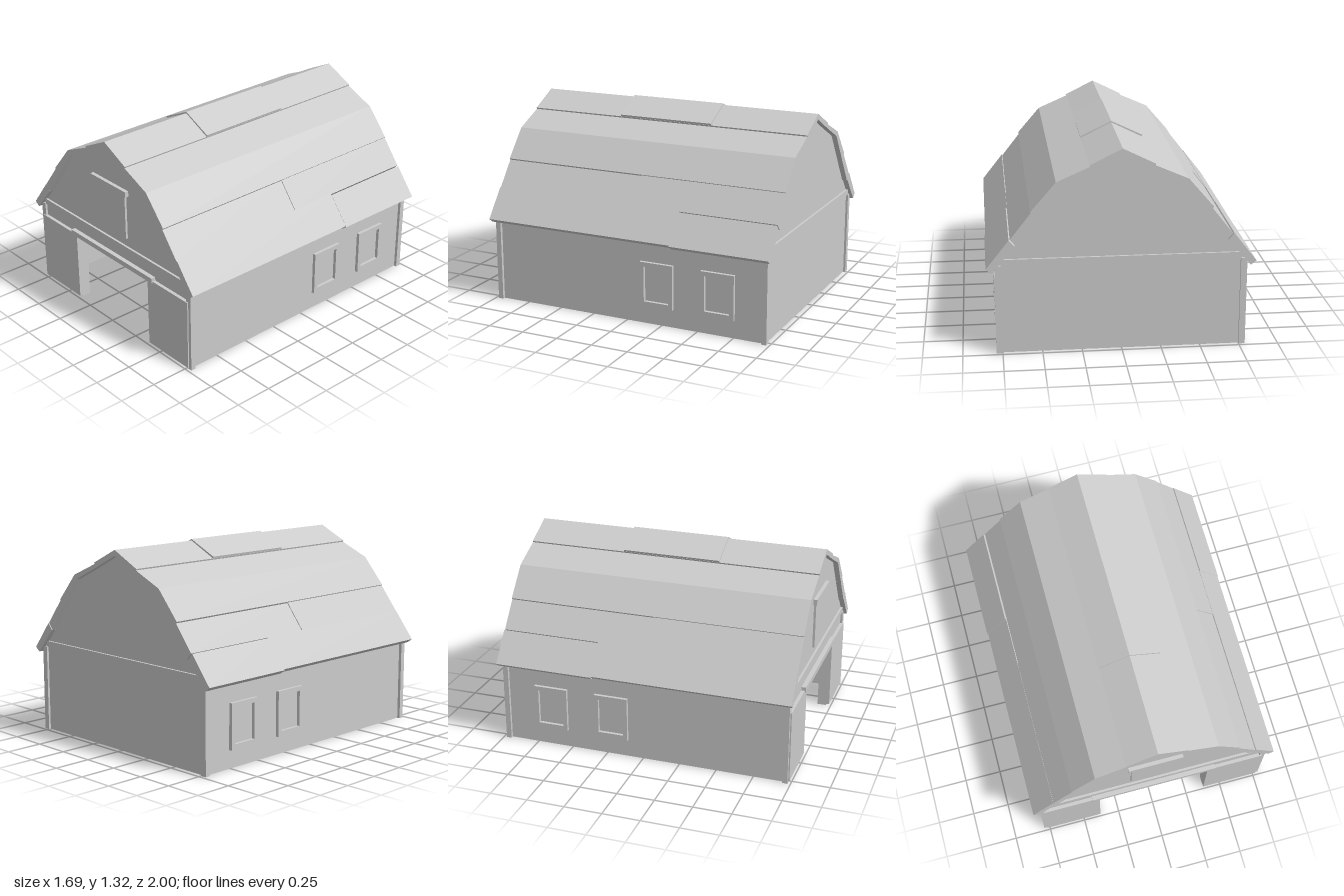
import * as THREE from 'three';

const material = new THREE.MeshStandardMaterial({ color: 0xcccccc, flatShading: true });

export function createModel() {
  const barn = new THREE.Group();
  barn.name = 'barn';

  const add = (name, geometry) => {
    const mesh = new THREE.Mesh(geometry, material);
    mesh.name = name;
    barn.add(mesh);
    return mesh;
  };

  // Box given by its limits on each axis
  const box = (name, x0, x1, y0, y1, z0, z1) => {
    const mesh = add(name, new THREE.BoxGeometry(Math.abs(x1 - x0), y1 - y0, Math.abs(z1 - z0)));
    mesh.position.set((x0 + x1) / 2, (y0 + y1) / 2, (z0 + z1) / 2);
    return mesh;
  };

  // Outline in x and y drawn out along z, with optional mirroring of x
  const prism = (name, points, z0, z1, side = 1) => {
    const shape = new THREE.Shape(points.map(([x, y]) => new THREE.Vector2(x * side, y)));
    const geometry = new THREE.ExtrudeGeometry(shape, { depth: z1 - z0, bevelEnabled: false });
    return add(name, geometry.translate(0, 0, z0));
  };

  // Full symmetric outline from its right half
  const mirrored = (half) => [...half, ...half.slice().reverse().map(([x, y]) => [-x, y])];

  // Walls with an open doorway at the front, and the loft floor
  for (const s of [1, -1]) {
    box('sideWall', s * 0.71, s * 0.77, 0, 0.58, -0.965, 0.965);
    box('frontWall', s * 0.38, s * 0.71, 0, 0.58, 0.905, 0.965);
  }
  box('doorLintel', -0.38, 0.38, 0.48, 0.58, 0.905, 0.965);
  box('backWall', -0.71, 0.71, 0, 0.58, -0.965, -0.905);
  box('loftFloor', -0.74, 0.74, 0.575, 0.6, -0.95, 0.95);

  // Gables, trim bands and corner posts
  const gable = mirrored([[0.77, 0.58], [0.655, 0.725], [0.395, 1.092], [0.001, 1.285]]);
  for (const s of [1, -1]) {
    prism('gable', gable, s > 0 ? 0.925 : -0.965, s > 0 ? 0.965 : -0.925);
    box('gableTrim', -0.745, 0.745, 0.58, 0.62, s * 0.96, s * 0.98);
    for (const t of [1, -1]) {
      box('cornerPost', t * 0.75, t * 0.79, 0, 0.58, s * 0.945, s * 0.98);
    }
  }

  // Sliding doors and their rail
  for (const s of [1, -1]) {
    box('slidingDoor', s * 0.38, s * 0.768, 0.01, 0.49, 0.96, 0.988);
  }
  box('doorRail', -0.43, 0.43, 0.478, 0.513, 0.96, 0.995);

  // Hayloft hatch
  box('loftHatch', -0.16, 0.16, 0.68, 1.0, 0.96, 0.98);
  box('loftHatchHeader', -0.182, 0.182, 0.988, 1.025, 0.96, 0.99);

  // Window frames: two on each side wall
  for (const s of [1, -1]) {
    for (const z of [-0.218, -0.643]) {
      const frame = new THREE.Shape([[-0.115, 0.12], [0.115, 0.12], [0.115, 0.42], [-0.115, 0.42]]
        .map(p => new THREE.Vector2(...p)));
      frame.holes.push(new THREE.Path([[-0.086, 0.155], [-0.086, 0.39], [0.086, 0.39], [0.086, 0.155]]
        .map(p => new THREE.Vector2(...p))));
      const mesh = add('windowFrame', new THREE.ExtrudeGeometry(frame, { depth: 0.03, bevelEnabled: false }));
      mesh.rotation.y = s * Math.PI / 2;
      mesh.position.set(s * 0.762, 0, z);
    }
  }

  // Overlapping rows of roof panels, from ridge to eave
  const ridge = [[0.203, 1.212], [0.19, 1.178], [0, 1.275], [0, 1.312]];
  const knee = [[0.19, 1.207], [0.407, 1.112], [0.565, 0.928], [0.53, 0.88], [0.385, 1.085], [0.19, 1.178]];
  const middle = [[0.545, 0.935], [0.688, 0.752], [0.65, 0.71], [0.52, 0.893]];
  const eave = [[0.693, 0.757], [0.838, 0.572], [0.802, 0.545], [0.657, 0.715]];
  const shift = (points, dx, dy) => points.map(([x, y]) => [x + dx, y + dy]);
  for (const s of [1, -1]) {
    prism('ridgePanel', ridge, -1, 1, s);
    prism('kneePanel', knee, -1, 1, s);
    // One half of the middle row sits slightly lower on each side
    prism('middlePanel', shift(middle, s > 0 ? 0 : 0.004, s > 0 ? 0 : 0.003), 0, 1, s);
    prism('middlePanel', shift(middle, s > 0 ? 0.004 : 0, s > 0 ? 0.003 : 0), -1, 0, s);
    prism('eavePanel', eave, -0.335, 1, s);
    prism('eavePanel', shift(eave, 0.006, -0.005), -1, -0.335, s);
  }

  // Raised cap at the middle of the ridge
  prism('ridgeCap', [[0, 1.322], [0.205, 1.224], [0.2, 1.205], [0, 1.3], [-0.2, 1.205], [-0.205, 1.224]], -0.333, 0.333);

  return barn;
}
